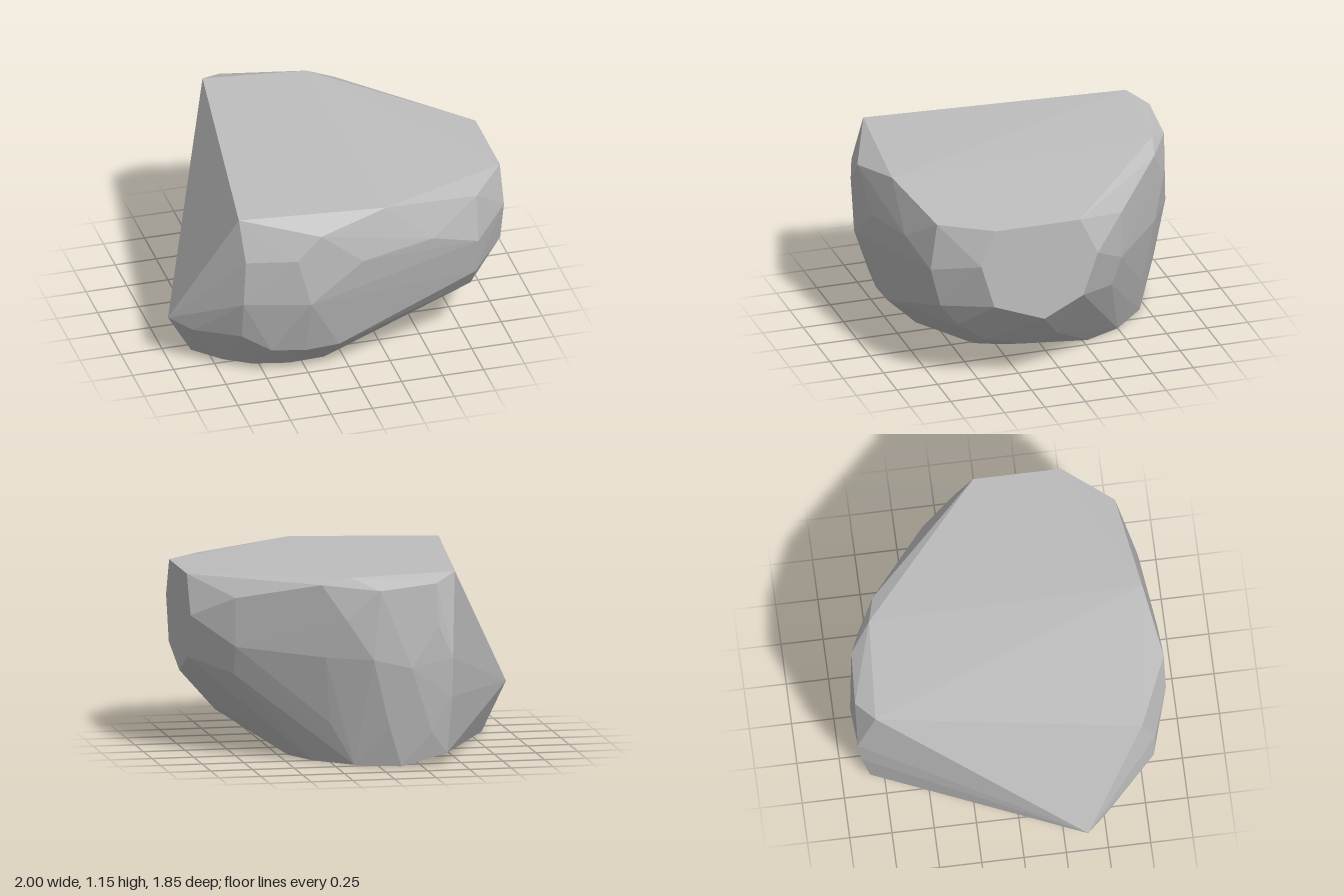
import * as THREE from 'three';
import { ConvexGeometry } from 'three/addons/geometries/ConvexGeometry.js';

export function createModel() {
  const stone = new THREE.MeshStandardMaterial({ color: 0xbebebe, flatShading: true });
  stone.name = 'stone grey';

  // Corners of the chiselled boulder, grouped by region as [x, y, z]
  const top = [
    [-0.67, 1.10, 0.74], [-0.45, 1.15, -0.81], [0.17, 1.125, -0.77],
    [0.33, 1.08, -0.73], [0.2, 1.11, 0.85],
  ];
  // Flat cut on the left side, as [y, z]
  const sideCut = [
    [1.06, 0.47], [1.06, -0.05], [0.83, -0.16], [0.57, -0.07],
    [0.45, 0.17], [0.57, 0.48], [0.84, 0.56],
  ].map(([y, z]) => [1, y, z]);
  // Ring of corners around that cut, as [y, z]
  const shoulder = [
    [1.045, 0.76], [0.76, 0.80], [0.52, 0.74], [0.38, 0.63], [0.26, 0.46],
    [0.2, 0.23], [0.24, 0.02], [0.5, -0.32], [0.67, -0.38], [0.96, -0.38],
  ].map(([y, z]) => [0.775, y, z]);
  const front = [
    [-0.22, 1.02, 0.925], [-0.65, 0.85, 0.82], [-0.36, 0.87, 0.92],
    [0.04, 0.81, 0.92], [0.48, 0.86, 0.86], [-0.28, 0.565, 0.925],
    [-0.66, 0.56, 0.81], [-0.65, 0.3, 0.73], [-0.88, 0.25, 0.5],
    [-0.48, 0.2, 0.77], [-0.28, 0.18, 0.79], [-0.07, 0.19, 0.79],
    [-1, 0.285, 0.38],
  ];
  const back = [
    [-0.32, 1.10, -0.915], [0.01, 1.06, -0.895], [-0.42, 0.65, -0.91],
    [-0.33, 0.85, -0.925], [-0.17, 0.6, -0.925], [0.05, 0.65, -0.89],
    [0.2, 0.88, -0.83], [0.31, 0.65, -0.74], [-0.42, 0.42, -0.89],
    [-0.3, 0.21, -0.87], [-0.05, 0.25, -0.85], [0.27, 0.25, -0.67],
    [-0.4, 0.075, -0.835],
  ];
  // Flat underside, as [x, z]
  const base = [
    [-0.13, -0.815], [0.13, -0.705], [0.34, -0.5], [0.44, -0.28],
    [0.34, 0.21], [0.27, 0.37], [-0.11, 0.6], [-0.33, 0.61],
    [-0.54, 0.56], [-0.69, 0.465], [-0.84, 0.31],
  ].map(([x, z]) => [x, 0, z]);

  // The facets are the hull of all corners
  const corners = [...top, ...sideCut, ...shoulder, ...front, ...back, ...base]
    .map((p) => new THREE.Vector3(...p));
  const boulder = new THREE.Mesh(new ConvexGeometry(corners), stone);
  boulder.name = 'boulder';

  const group = new THREE.Group();
  group.name = 'rock';
  group.add(boulder);
  return group;
}
